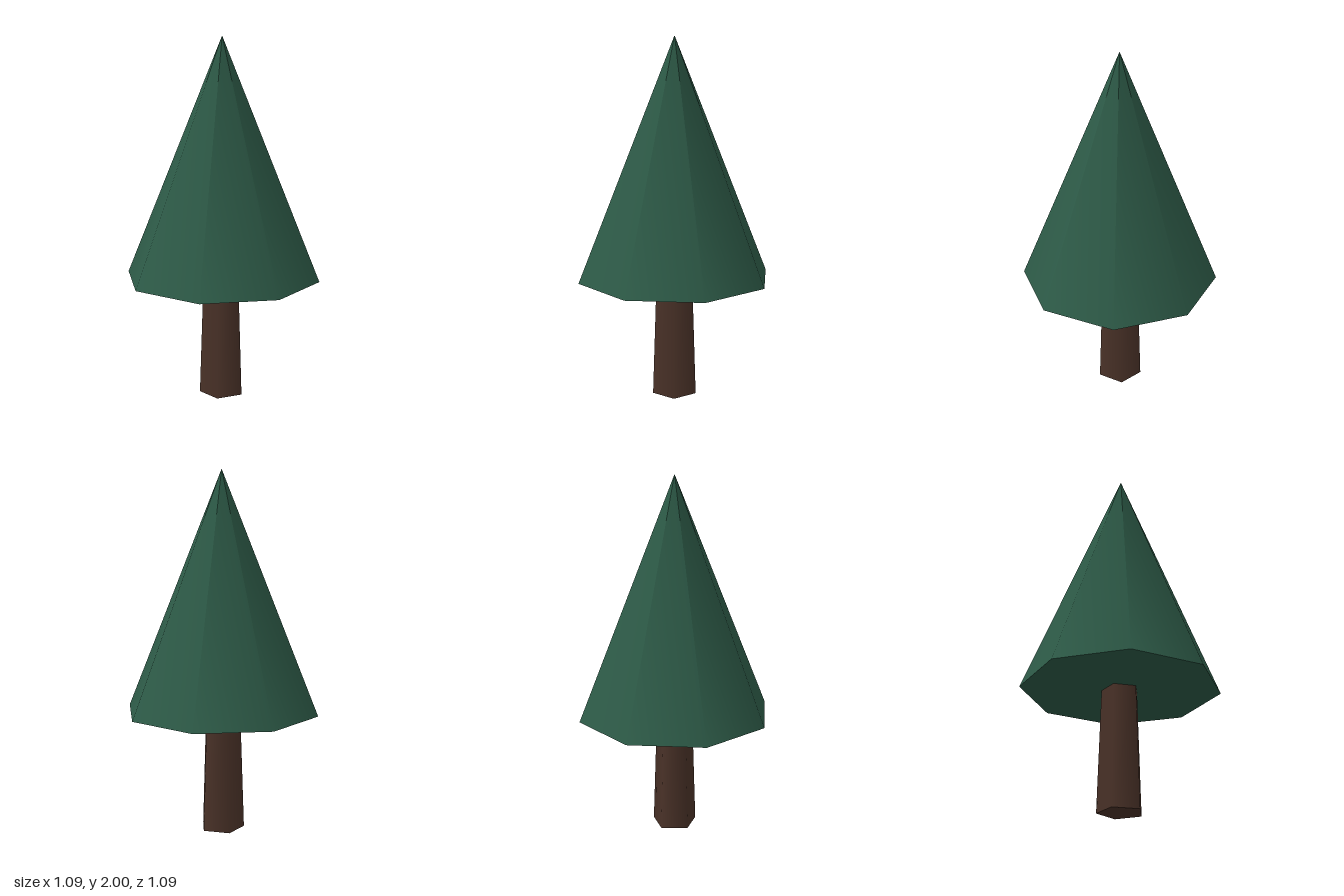
import * as THREE from 'three';

export function createModel() {
  const tree = new THREE.Group();
  tree.name = 'tree';

  const addPart = (name, geometry, color, y) => {
    const mesh = new THREE.Mesh(geometry, new THREE.MeshStandardMaterial({ color }));
    mesh.name = name;
    mesh.position.y = y;
    tree.add(mesh);
  };

  const trunkHeight = 0.675;
  const crownHeight = 2 - trunkHeight;

  // Five-sided tapering trunk, one corner facing the front
  addPart('trunk', new THREE.CylinderGeometry(0.104, 0.127, trunkHeight, 5), 0x4a3228, trunkHeight / 2);

  // Eight-sided crown with a closed underside
  addPart('crown', new THREE.ConeGeometry(0.545, crownHeight, 8), 0x2d5a47, trunkHeight + crownHeight / 2);

  return tree;
}
